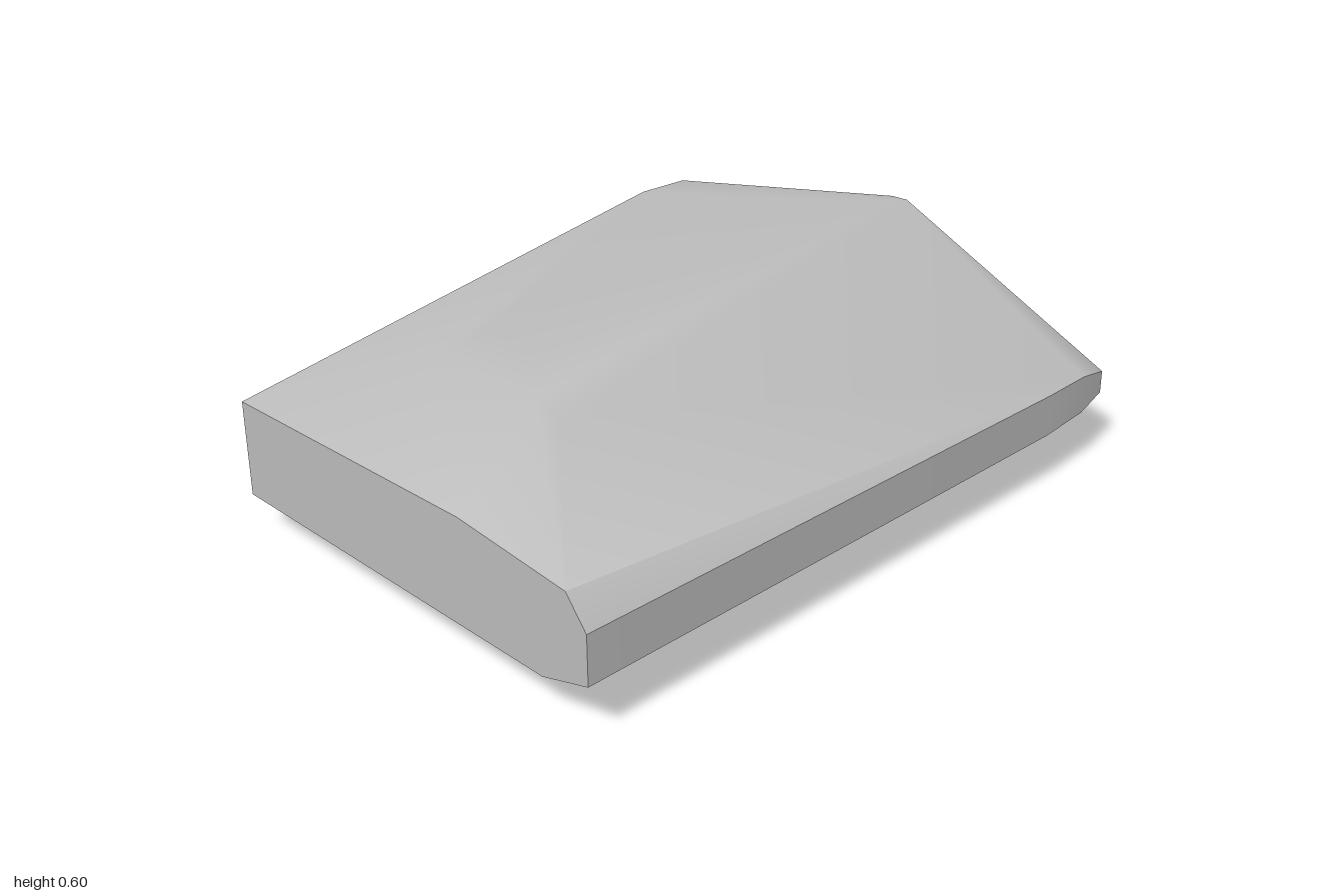
import * as THREE from 'three';
import { ConvexGeometry } from 'three/addons/geometries/ConvexGeometry.js';
import { toCreasedNormals } from 'three/addons/utils/BufferGeometryUtils.js';

const FRONT = 0.655, BACK = -0.655;

// Flat cut at the -x end, as [z, y]
const leftCut = [
  [BACK, 0.12], [0.5, 0.12], [FRONT, 0.168], [FRONT, 0.305],
  [0.59, 0.385], [0.22, 0.415], [BACK, 0.39],
];

// Flat cut across the back, as [x, y]
const backCut = [[0.4, 0.58], [0.56, 0.573], [0.96, 0.315], [0.96, 0.163], [0.83, 0.118]];

// Flattened crown
const crown = [
  [-0.7, 0.575, -0.22], [-0.69, 0.575, 0.14], [-0.7, 0.552, 0.23],
  [-0.58, 0.595, 0], [-0.55, 0.597, -0.2],
  [0.85, 0.575, -0.1], [0.92, 0.57, -0.085], [0.92, 0.567, -0.14],
];

// Narrow vertical front edge and its rounded corner
const frontEdge = [
  [0.65, 0.29, FRONT], [0.82, 0.285, 0.645], [0.935, 0.255, 0.625],
  [0.65, 0.17, FRONT], [0.82, 0.175, 0.645], [0.935, 0.19, 0.625],
];

// Blunt +x end
const rightEnd = [
  [0.952, 0.285, 0.51], [0.95, 0.17, 0.51], [0.962, 0.163, 0.34],
  [1, 0.295, -0.15], [0.975, 0.163, -0.08], [0.975, 0.163, -0.25],
];

// Small resting patch underneath
const base = [[0.62, 0, -0.02], [0.84, 0, -0.04], [0.84, 0, -0.33], [0.64, 0, -0.35]];

export function createModel() {
  const stone = new THREE.MeshStandardMaterial({ color: 0xbcbcbc });
  stone.name = 'stone grey';

  const points = [
    ...leftCut.map(([z, y]) => [-1, y, z]),
    ...backCut.map(([x, y]) => [x, y, BACK]),
    ...crown, ...frontEdge, ...rightEnd, ...base,
  ].map((p) => new THREE.Vector3(...p));

  // Soft facets with crisp cut edges
  const rock = new THREE.Mesh(toCreasedNormals(new ConvexGeometry(points), THREE.MathUtils.degToRad(36)), stone);
  rock.name = 'rock';

  const group = new THREE.Group();
  group.name = 'rockSlab';
  group.add(rock);
  return group;
}
